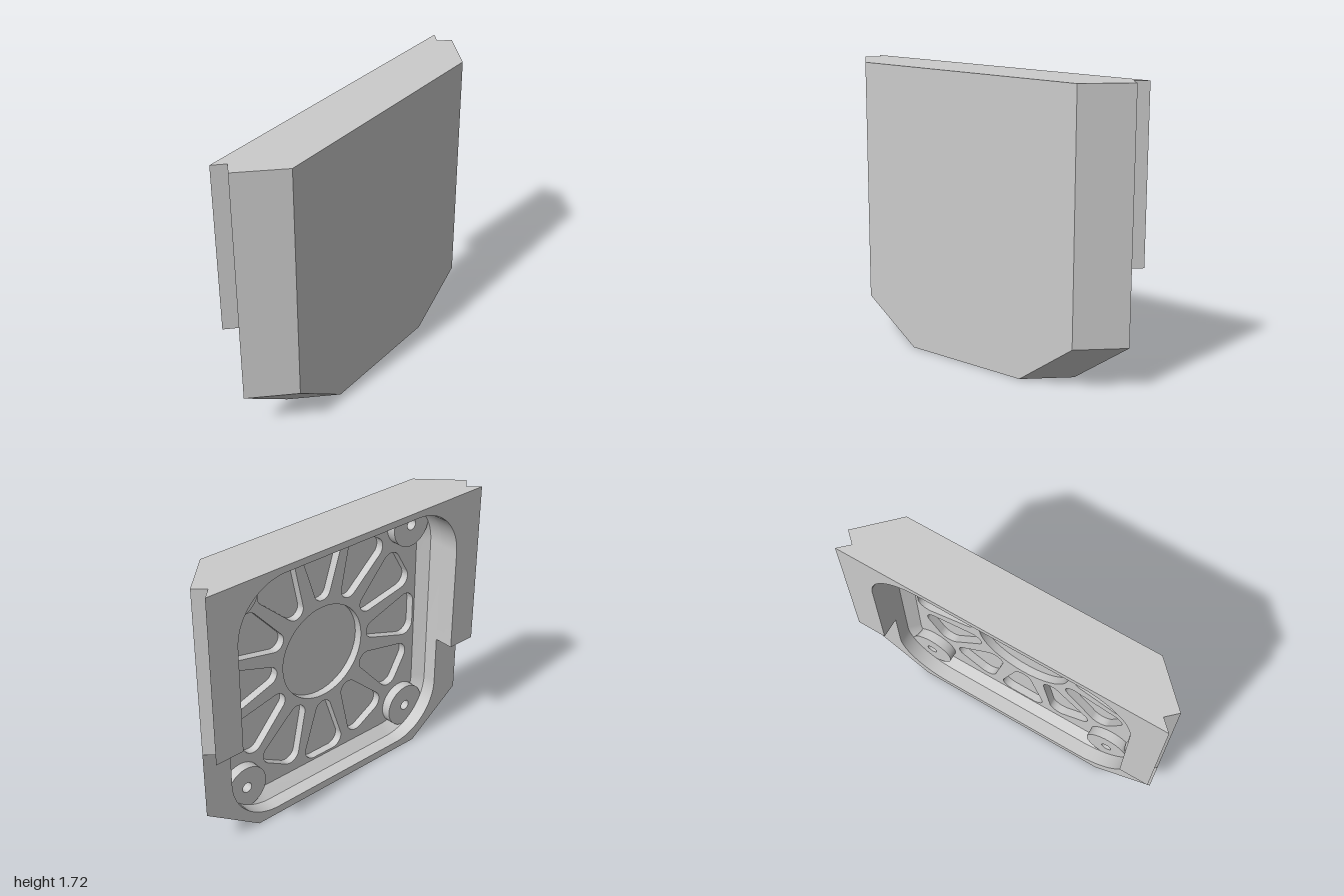
import * as THREE from 'three';
import { toCreasedNormals } from 'three/addons/utils/BufferGeometryUtils.js';

const material = new THREE.MeshStandardMaterial({ color: 0xcccccc });
const PI = Math.PI;
const CY = 0.865;                         // height of the cavity centre
const TOP = 1.72 - CY, BOTTOM = -CY, STEP = 0.69 - CY;
const FRONT = 0.175, MID = -0.05, BACK = -0.175;
const LEDGE = 0.04, FLOOR = 0.1, PANEL = 0.15;
const HALF = 0.815, RADIUS = 0.33, ARC = HALF - RADIUS;

// Outer outline, narrowed by the taper, anticlockwise seen from the front
const outline = (inset) => [
  [1 - inset, TOP], [inset - 1, TOP], [inset - 1, 0.26 - CY],
  [inset - 0.635, BOTTOM], [0.635 - inset, BOTTOM], [1 - inset, 0.26 - CY],
].map(([x, y]) => new THREE.Vector2(x, y));

// Rounded square of the cavity, shrunk by an inset
function roundedSquare(inset) {
  const s = new THREE.Shape(), r = RADIUS - inset;
  [[1, 1], [-1, 1], [-1, -1], [1, -1]].forEach(([x, y], i) =>
    s.absarc(x * ARC, y * ARC, r, i * PI / 2, (i + 1) * PI / 2));
  return s;
}

// Walls between successive loops of equal length
function loft(sections) {
  const pos = [];
  for (let k = 0; k + 1 < sections.length; k++) {
    const [A, za] = sections[k], [B, zb] = sections[k + 1];
    A.forEach((p, i) => {
      const j = (i + 1) % A.length;
      const a0 = [p.x, p.y, za], a1 = [A[j].x, A[j].y, za];
      const b0 = [B[i].x, B[i].y, zb], b1 = [B[j].x, B[j].y, zb];
      pos.push(...a0, ...b0, ...b1, ...a0, ...b1, ...a1);
    });
  }
  const g = new THREE.BufferGeometry();
  g.setAttribute('position', new THREE.Float32BufferAttribute(pos, 3));
  return g;
}

// One fan pocket: narrow rounded inner end, wide rounded outer end
function pocket(angle) {
  const s = new THREE.Path(), t = 1.89;
  s.absarc(0.67, -0.075, 0.07, -t, 0);
  s.absarc(0.67, 0.075, 0.07, 0, t);
  s.absarc(0.41, 0, 0.06, t, 2 * PI - t);
  const centre = new THREE.Vector2();
  return new THREE.Path(s.getPoints(8).map((p) => p.rotateAround(centre, angle)));
}

export function createModel() {
  const model = new THREE.Group();
  const add = (name, geometry) => {
    const mesh = new THREE.Mesh(toCreasedNormals(geometry, 0.5), material);
    mesh.name = name;
    mesh.position.y = CY;
    model.add(mesh);
    return mesh;
  };
  const extrude = (shape, depth, z, steps = 1, curveSegments = 16) =>
    new THREE.ExtrudeGeometry(shape, { depth, steps, curveSegments, bevelEnabled: false }).translate(0, 0, z);

  // Front face and tapered outer walls
  const frontLoop = outline(FRONT - MID), midLoop = outline(0);
  add('frontFace', new THREE.ShapeGeometry(new THREE.Shape(frontLoop)).translate(0, 0, FRONT));
  add('outerWalls', loft([[frontLoop, FRONT], [midLoop, MID]]));

  // Lower rim around the bottom of the opening
  const lower = new THREE.Shape([
    new THREE.Vector2(-HALF, STEP), new THREE.Vector2(-1, STEP), ...midLoop.slice(2),
    new THREE.Vector2(1, STEP), new THREE.Vector2(HALF, STEP),
  ]);
  lower.absarc(ARC, -ARC, RADIUS, 0, -PI / 2, true);
  lower.absarc(-ARC, -ARC, RADIUS, -PI / 2, -PI, true);
  add('lowerRim', new THREE.ShapeGeometry(lower, 16).rotateY(PI).translate(0, 0, MID));

  // Raised upper rim with a V groove along each side
  const upper = new THREE.Shape([
    [HALF, STEP], [1, STEP], [1, TOP], [-1, TOP], [-1, STEP], [-HALF, STEP],
  ].map(([x, y]) => new THREE.Vector2(x, y)));
  upper.absarc(-ARC, ARC, RADIUS, PI, PI / 2, true);
  upper.absarc(ARC, ARC, RADIUS, PI / 2, 0, true);
  const rim = extrude(upper, MID - BACK, BACK, 2);
  const rp = rim.attributes.position;
  for (let i = 0; i < rp.count; i++) {
    const middle = Math.abs(rp.getZ(i) - (MID + BACK) / 2) < 0.01;
    if (middle && Math.abs(rp.getX(i)) > 0.99) rp.setX(i, Math.sign(rp.getX(i)) * 0.935);
  }
  add('upperRim', rim);

  // Cavity walls: straight, then sloping in to the floor
  const wide = roundedSquare(0).getPoints(16), narrow = roundedSquare(FLOOR - LEDGE).getPoints(16);
  add('cavityWalls', loft([[wide, MID], [wide, LEDGE], [narrow, FLOOR]]));

  // Floor with a round centre recess and a ring of pockets
  const floor = roundedSquare(FLOOR - LEDGE);
  floor.holes.push(new THREE.Path().absarc(0, 0, 0.305, 0, 2 * PI));
  for (let i = 0; i < 12; i++) floor.holes.push(pocket(i * PI / 6));
  add('ribbedFloor', extrude(floor, PANEL - FLOOR, FLOOR, 1, 24));
  add('recessFloor', new THREE.ShapeGeometry(roundedSquare(FLOOR - LEDGE), 16)
    .rotateY(PI).translate(0, 0, PANEL));

  // Corner screw bosses, trimmed to follow the cavity corner
  const ring = new THREE.Shape().absarc(0.645, 0.645, 0.14, 0, 2 * PI);
  ring.holes.push(new THREE.Path().absarc(0.645, 0.645, 0.033, 0, 2 * PI));
  const boss = extrude(ring, FLOOR - LEDGE, LEDGE, 1, 40);
  const bp = boss.attributes.position;
  for (let i = 0; i < bp.count; i++) {
    const x = bp.getX(i), y = bp.getY(i), r = RADIUS - (bp.getZ(i) - LEDGE);
    const vx = Math.max(x - ARC, 0), vy = Math.max(y - ARC, 0);
    const k = Math.min(1, r / Math.max(Math.hypot(vx, vy), 1e-6));
    bp.setXY(i, Math.min(x, ARC) + vx * k, Math.min(y, ARC) + vy * k);
  }
  for (let i = 0; i < 4; i++) add('screwBoss', boss).rotation.z = i * PI / 2;

  return model;
}
